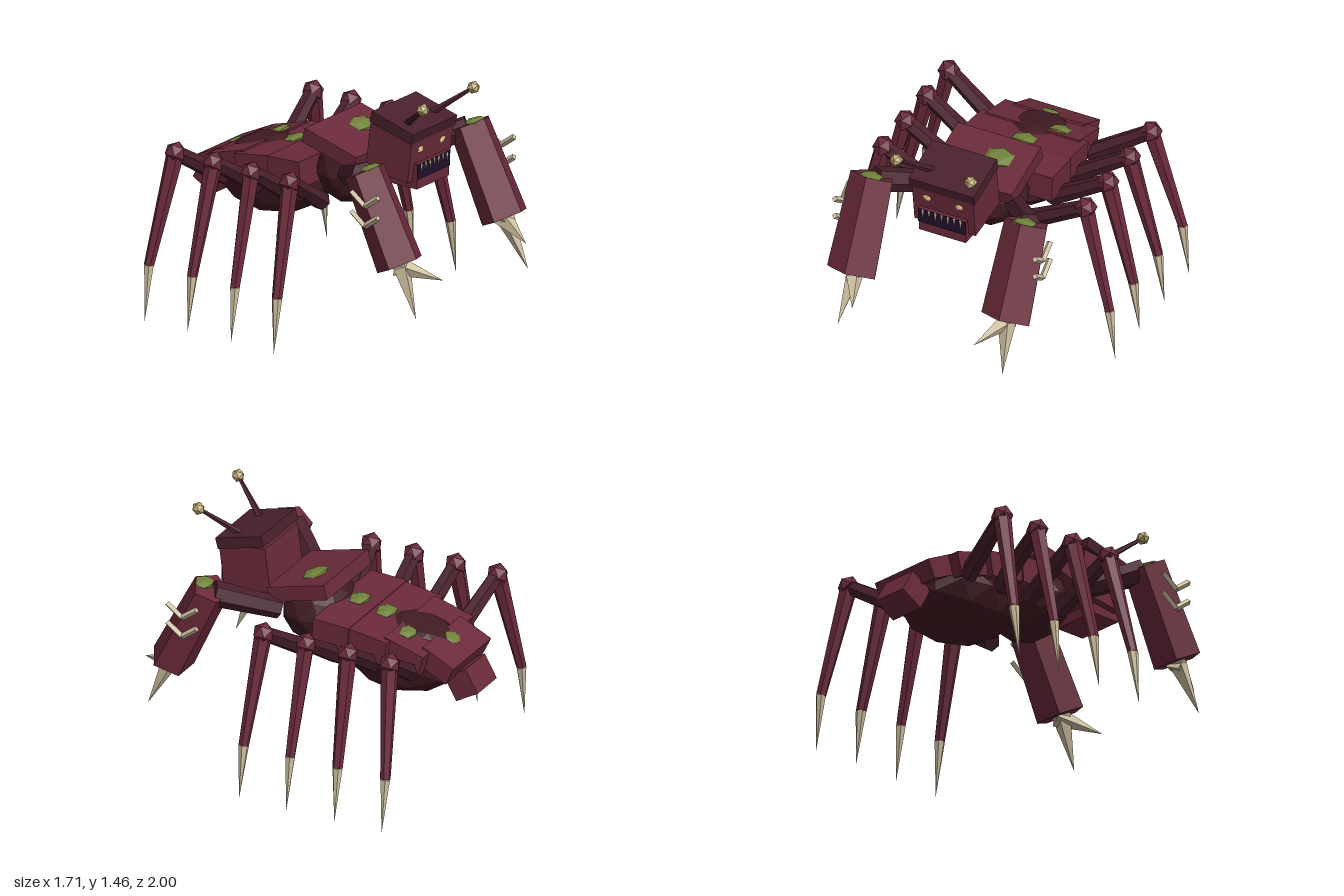
import * as THREE from 'three';

const V = (x, y, z) => new THREE.Vector3(x, y, z);

export function createModel() {
  const model = new THREE.Group();
  model.name = 'armouredBug';

  const mat = (name, color) => {
    const m = new THREE.MeshStandardMaterial({ color, flatShading: true });
    m.name = name;
    return m;
  };
  const shell = mat('maroon shell', 0x6b2a3a);
  const dark = mat('dark maroon', 0x49202c);
  const belly = mat('belly brown', 0x401a22);
  const bone = mat('bone', 0xcfc0a0);
  const gold = mat('gold', 0xc4b078);
  const eyeMat = mat('pale gold eye', 0xe3c98c);
  const moss = mat('moss green', 0x71823a);
  const mouthMat = mat('mouth purple', 0x21102c);

  const add = (name, geo, material, x, y, z, rx = 0) => {
    const m = new THREE.Mesh(geo, material);
    m.name = name;
    m.position.set(x, y, z);
    m.rotation.x = rx;
    model.add(m);
    return m;
  };
  const box = (name, material, w, h, d, y, z, rx) =>
    add(name, new THREE.BoxGeometry(w, h, d), material, 0, y, z, rx);

  // Tapered rod from a (radius ra) to b (radius rb)
  const limb = (name, material, a, b, ra, rb, sides = 6) => {
    const dir = b.clone().sub(a);
    const mid = a.clone().add(b).multiplyScalar(0.5);
    const m = add(name, new THREE.CylinderGeometry(rb, ra, dir.length(), sides), material, mid.x, mid.y, mid.z);
    m.quaternion.setFromUnitVectors(V(0, 1, 0), dir.normalize());
    return m;
  };
  const lump = (name, material, x, y, z, rx, ry, rz, detail = 0) => {
    const m = add(name, new THREE.IcosahedronGeometry(1, detail), material, x, y, z);
    m.scale.set(rx, ry, rz);
    return m;
  };
  // Flat irregular moss patch
  const mossPatch = (x, y, z, r, tilt = 0) => {
    const m = lump('mossPatch', moss, x, y, z, r, 0.022, r * 0.8);
    m.rotation.x = tilt;
    return m;
  };

  // Thorax and abdomen
  lump('thorax', belly, 0, 0.88, 0.08, 0.26, 0.21, 0.21, 1);
  lump('abdomen', belly, 0, 0.725, -0.48, 0.31, 0.225, 0.37, 1);

  // Back plates
  box('thoraxPlate', shell, 0.53, 0.09, 0.38, 1.055, 0.09, 0.26);
  box('backPlate1', shell, 0.7, 0.16, 0.23, 0.885, -0.17, -0.05);
  box('backPlate2', shell, 0.68, 0.15, 0.27, 0.865, -0.385, -0.15);
  box('backPlate3', shell, 0.6, 0.14, 0.26, 0.83, -0.6, -0.28);
  box('backPlate4', shell, 0.45, 0.12, 0.22, 0.785, -0.775, -0.45);
  box('tail', shell, 0.23, 0.157, 0.158, 0.64, -0.888, 0.52);

  // Moss on the back
  mossPatch(0.075, 1.112, 0.07, 0.095, 0.26);
  mossPatch(-0.01, 0.968, -0.17, 0.08, -0.05);
  mossPatch(0.02, 0.947, -0.36, 0.08, -0.15);
  mossPatch(0.145, 0.916, -0.565, 0.07, -0.28);
  mossPatch(-0.02, 0.85, -0.76, 0.07, -0.45);

  // Head, brow, jaw and mouth
  box('head', shell, 0.39, 0.27, 0.3, 1.095, 0.465, 0.125);
  box('browPlate', dark, 0.414, 0.067, 0.305, 1.257, 0.492, 0.26);
  box('jaw', shell, 0.3, 0.15, 0.197, 0.975, 0.532);
  box('mouth', mouthMat, 0.3, 0.09, 0.008, 1.005, 0.634);
  for (let i = 0; i < 7; i++) {
    const len = i % 2 ? 0.045 : 0.06;
    add('tooth', new THREE.ConeGeometry(0.009, len, 4), bone, (i - 3) * 0.04, 1.05 - len / 2, 0.643, Math.PI);
  }

  for (const s of [-1, 1]) {
    // Eyes and antennae
    lump('eye', eyeMat, s * 0.102, 1.13, 0.618, 0.03, 0.024, 0.012).rotation.z = s * 0.3;
    limb('antenna', dark, V(s * 0.115, 1.265, 0.53), V(s * 0.237, 1.43, 0.74), 0.022, 0.01, 5);
    lump('antennaBall', gold, s * 0.237, 1.43, 0.74, 0.039, 0.039, 0.039);

    // Moss on the flank
    const side = lump('sideMoss', moss, s * 0.295, 0.815, -0.45, 0.022, 0.05, 0.07);
    side.rotation.z = s * 0.2;

    // Big claw arm
    limb('upperArm', dark, V(s * 0.25, 0.93, 0.21), V(s * 0.49, 1.06, 0.51), 0.062, 0.076);
    const claw = add('clawArm', new THREE.CylinderGeometry(0.14, 0.16, 0.571, 5), shell, s * 0.492, 0.834, 0.647, -0.459);
    claw.scale.z = 0.8;
    mossPatch(s * 0.49, 1.115, 0.565, 0.075, -0.2);
    limb('clawSpike', bone, V(s * 0.485, 0.6, 0.765), V(s * 0.525, 0.285, 0.91), 0.06, 0, 4);
    limb('clawSpike', bone, V(s * 0.5, 0.57, 0.75), V(s * 0.387, 0.5, 1.0), 0.06, 0, 4);

    // Chevrons on the outer side of the claw arm
    for (const y of [0.94, 0.82]) {
      const apex = V(s * 0.638, y, 0.63);
      limb('chevron', bone, apex, V(s * 0.638, y + 0.07, 0.725), 0.018, 0.018, 4);
      limb('chevron', bone, apex, V(s * 0.638, y + 0.07, 0.535), 0.018, 0.018, 4);
    }

    // Walking legs: hip z, knee z, ankle z, tip z
    const legs = [
      [0.05, 0.1, 0.137, 0.145],
      [-0.185, -0.175, -0.163, -0.16],
      [-0.41, -0.445, -0.468, -0.47],
      [-0.65, -0.715, -0.777, -0.775],
    ];
    for (const [hip, kneeZ, ankleZ, tip] of legs) {
      const knee = V(s * 0.645, 0.97, kneeZ);
      const ankle = V(s * 0.813, 0.325, ankleZ);
      limb('upperLeg', dark, V(s * 0.28, 0.74, hip), knee, 0.055, 0.045);
      lump('knee', shell, knee.x, knee.y, knee.z, 0.066, 0.066, 0.066);
      limb('lowerLeg', shell, knee, ankle, 0.052, 0.03);
      limb('footSpike', bone, ankle, V(s * 0.855, 0, tip), 0.031, 0, 6);
    }
  }
  return model;
}
